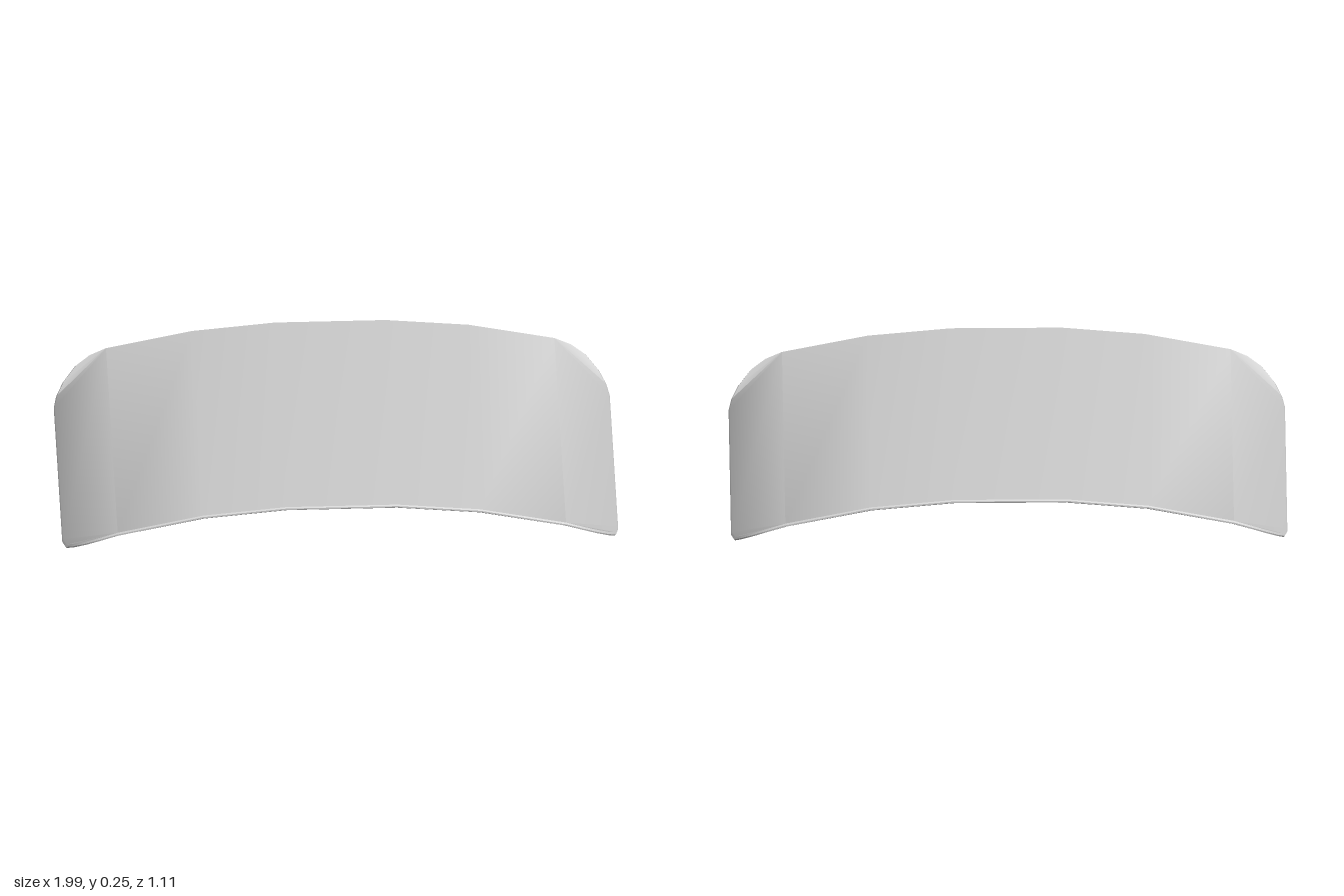
import * as THREE from 'three';
import { toCreasedNormals } from 'three/addons/utils/BufferGeometryUtils.js';

// One quarter of the outline, centre to end: x, z, height, tilt of the surface (radians)
const QUARTER = [
  [0.2, 0.557, 0.256, 0.05],
  [0.5, 0.557, 0.226, 0.16],
  [0.81, 0.557, 0.156, 0.42],
  [0.87, 0.55, 0.13, 0.55],
  [0.92, 0.53, 0.099, 0.62],
  [0.965, 0.49, 0.058, 0.66],
  [0.99, 0.45, 0.026, 0.68],
  [1.0, 0.4, 0.013, 0.68],
];
// Edge rounding from top skin to underside: inset ratio, depth below the top
const LAYERS = [[0.007, 0], [0, 0.004], [0, 0.01], [0.007, 0.014]];

export function createModel() {
  const group = new THREE.Group();
  const back = [...QUARTER].reverse();
  const mirror = (list, sx, sz) => list.map(([x, z, y, t]) => [x * sx, z * sz, y, t]);
  const ring = [
    ...mirror(QUARTER, 1, 1), ...mirror(back, 1, -1),
    ...mirror(QUARTER, -1, -1), ...mirror(back, -1, 1),
  ];
  const n = ring.length;

  // Stacked outline rings, offset along the surface normal
  const positions = [];
  for (const [inset, depth] of LAYERS) {
    for (const [x, z, y, tilt] of ring) {
      const slide = inset * Math.abs(x) * Math.tan(tilt);
      positions.push(
        x * (1 - inset) - Math.sign(x) * Math.sin(tilt) * depth,
        Math.max(0, y + slide - Math.cos(tilt) * depth),
        z * (1 - inset),
      );
    }
  }

  // Skin: cross strips, a straight end panel and a fan in each rounded corner
  const skin = [];
  const quad = (list, a, b, c, d) => list.push(a, b, c, a, c, d);
  quad(skin, 31, 0, 15, 16);
  for (const side of [0, 16]) {
    const at = (i) => (i + side) % n;
    for (const [i, j] of [[0, 1], [1, 2], [2, 7]]) quad(skin, at(i), at(j), at(15 - j), at(15 - i));
    for (let j = 3; j < 7; j++) skin.push(at(2), at(j), at(j + 1));
    for (let j = 8; j < 12; j++) skin.push(at(13), at(j), at(j + 1));
  }

  const index = [...skin];
  const base = (LAYERS.length - 1) * n;
  for (let i = 0; i < skin.length; i += 3) {
    index.push(base + skin[i], base + skin[i + 2], base + skin[i + 1]);
  }
  // Rim joining the top skin to the underside
  for (let k = 0; k < LAYERS.length - 1; k++) {
    for (let i = 0; i < n; i++) {
      const j = (i + 1) % n;
      quad(index, (k + 1) * n + i, (k + 1) * n + j, k * n + j, k * n + i);
    }
  }

  const geometry = new THREE.BufferGeometry();
  geometry.setAttribute('position', new THREE.Float32BufferAttribute(positions, 3));
  geometry.setIndex(index);

  const panel = new THREE.Mesh(
    toCreasedNormals(geometry, 0.6),
    new THREE.MeshStandardMaterial({ color: 0xcccccc }),
  );
  panel.name = 'curvedPanel';
  group.add(panel);
  return group;
}
